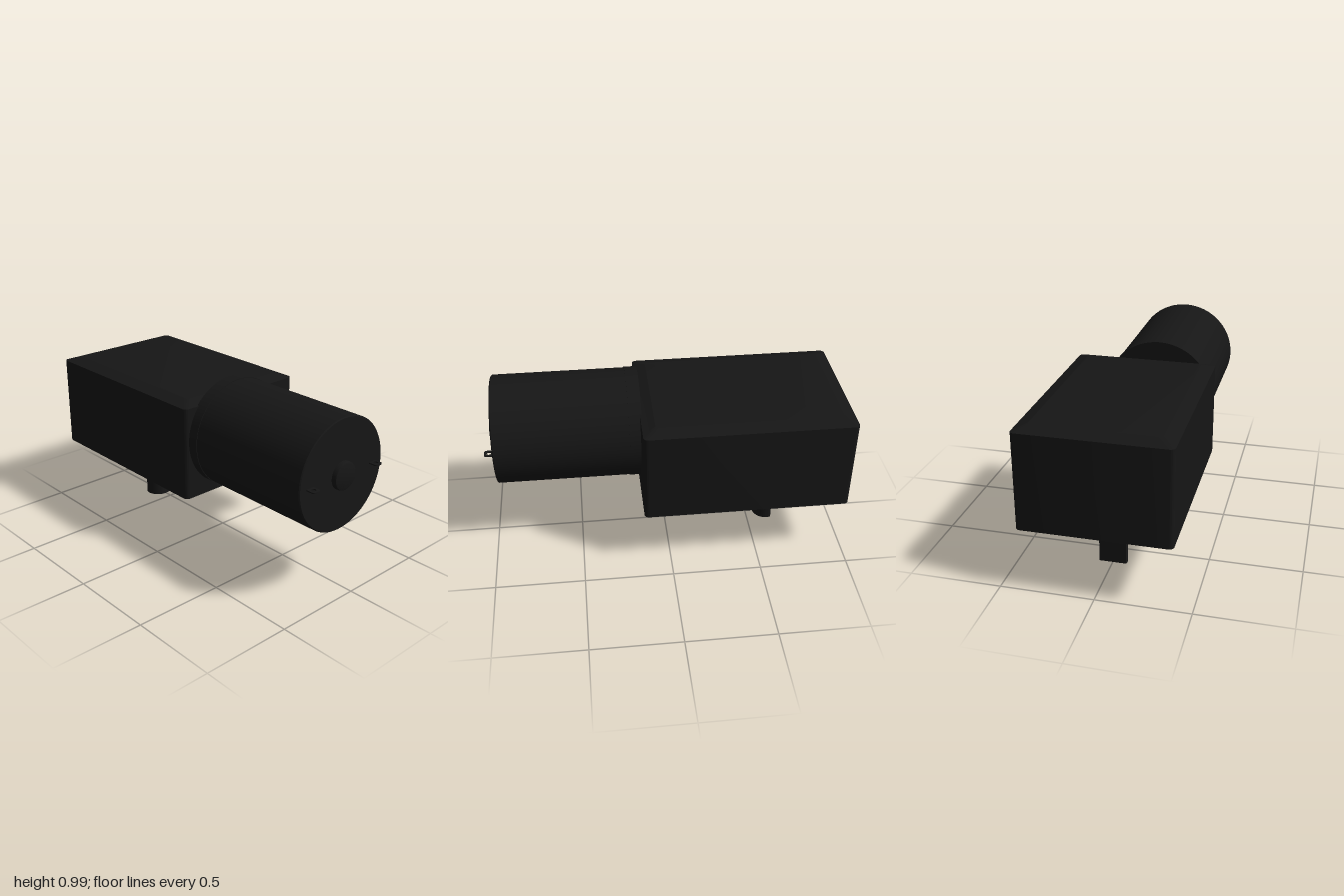
import * as THREE from 'three';
import { toCreasedNormals } from 'three/addons/utils/BufferGeometryUtils.js';

const black = new THREE.MeshStandardMaterial({ color: 0x161616 });
const steel = new THREE.MeshStandardMaterial({ color: 0x8a8a8a });

const X = -0.07, Y = 0.68; // motor axis
const OUT_Z = -0.622; // output shaft axis
const BASE = 0.35; // underside of the gearbox

function add(parent, name, geometry, material = black) {
  const mesh = new THREE.Mesh(geometry, material);
  mesh.name = name;
  parent.add(mesh);
  return mesh;
}

// Extrudes a plan shape (shape y points to -z) upward from y0 to y1
function prism(shape, y0, y1, steps = 1) {
  const geo = new THREE.ExtrudeGeometry(shape, { depth: y1 - y0, bevelEnabled: false, curveSegments: 24, steps });
  return geo.rotateX(-Math.PI / 2).translate(0, y0, 0);
}

// Rectangle with rounded corners, centred on the origin
function roundedRect(w, h, r) {
  const s = new THREE.Shape(), a = w / 2 - r, b = h / 2 - r, q = Math.PI / 2;
  s.absarc(a, b, r, 0, q);
  s.absarc(-a, b, r, q, 2 * q);
  s.absarc(-a, -b, r, 2 * q, 3 * q);
  s.absarc(a, -b, r, 3 * q, 4 * q);
  s.closePath();
  return s;
}

function disc(r, hole = 0) {
  const s = new THREE.Shape();
  s.absarc(0, 0, r, 0, Math.PI * 2);
  if (hole) s.holes.push(new THREE.Path().absarc(0, 0, hole, 0, Math.PI * 2, true));
  return s;
}

// Turns a [radius, z] profile around the motor axis
function turned(profile) {
  const pts = profile.map(([r, z]) => new THREE.Vector2(r, z));
  const geo = new THREE.LatheGeometry(pts, 72).rotateX(Math.PI / 2).translate(X, Y, 0);
  return toCreasedNormals(geo, 0.5);
}

function gearbox() {
  const g = new THREE.Group();
  g.name = 'gearbox';

  // Housing: the top layer is drawn in to form the sloped lid edge
  const geo = prism(roundedRect(0.8, 1.15, 0.025), BASE, 0.9, 2);
  const p = geo.attributes.position;
  for (let i = 0; i < p.count; i++) {
    const y = p.getY(i);
    if (y > 0.89) p.setXYZ(i, p.getX(i) * 0.33 / 0.4, y, p.getZ(i) * 0.505 / 0.575);
    else if (y > 0.5) p.setY(i, 0.875);
  }
  geo.computeVertexNormals();
  add(g, 'housing', toCreasedNormals(geo, 0.3)).position.z = -0.425;

  // Mounting bosses with screw holes
  const boss = toCreasedNormals(prism(disc(0.095, 0.04), 0.325, BASE), 0.5);
  for (const x of [-0.225, 0.225])
    for (const z of [-0.025, -0.82]) add(g, 'mountingBoss', boss).position.set(x, 0, z);

  // Raised collar around the shaft and oblong pad in front of it
  add(g, 'shaftCollar', toCreasedNormals(prism(disc(0.16, 0.1), 0.325, BASE), 0.5)).position.z = OUT_Z;
  add(g, 'oblongPad', toCreasedNormals(prism(roundedRect(0.48, 0.15, 0.0749), 0.325, BASE), 0.5)).position.z = -0.345;

  // Cover screws with cross recess
  for (const x of [-0.36, 0.36]) {
    const screw = new THREE.Group();
    screw.name = 'coverScrew';
    screw.position.set(x, BASE, 0.108);
    add(screw, 'screwHead', new THREE.CylinderGeometry(0.032, 0.028, 0.008, 24), steel);
    for (const turn of [0, Math.PI / 2])
      add(screw, 'crossRecess', new THREE.BoxGeometry(0.03, 0.002, 0.007).rotateY(turn)).position.y = -0.004;
    g.add(screw);
  }
  return g;
}

function outputShaft() {
  const g = new THREE.Group();
  g.name = 'outputShaft';
  g.position.z = OUT_Z;
  const r = 0.077, a = Math.asin(0.023 / r);
  // Shaft end with one flat facing the back
  const d = new THREE.Shape();
  d.absarc(0, 0, r, Math.PI - a, 2 * Math.PI + a);
  d.closePath();
  add(g, 'flattedShaft', toCreasedNormals(prism(d, 0, 0.305), 0.5));
  add(g, 'roundShaft', toCreasedNormals(prism(disc(r), 0.302, 0.36), 0.5));
  return g;
}

function motor() {
  const g = new THREE.Group();
  g.name = 'motor';
  // Can with a slightly larger band at the gearbox
  add(g, 'motorCan', turned([[0, 0.14], [0.308, 0.14], [0.308, 0.21], [0.305, 0.21],
    [0.305, 0.945], [0.3, 0.95], [0, 0.95]]));
  add(g, 'bearingBoss', turned([[0.076, 0.945], [0.076, 0.968], [0.073, 0.975], [0.066, 0.978], [0, 0.978]]));

  // Solder tabs with an eyelet
  const tab = new THREE.Shape();
  tab.moveTo(-0.025, 0.01);
  tab.lineTo(-0.025, -0.035);
  tab.absarc(-0.01, -0.035, 0.015, Math.PI, 1.5 * Math.PI);
  tab.absarc(0.01, -0.035, 0.015, 1.5 * Math.PI, 2 * Math.PI);
  tab.lineTo(0.025, 0.01);
  tab.closePath();
  tab.holes.push(new THREE.Path().absarc(0, -0.024, 0.013, 0, Math.PI * 2, true));
  const tabGeo = toCreasedNormals(prism(tab, -0.003, 0.003), 0.5);
  for (const side of [-1, 1]) add(g, 'solderTab', tabGeo).position.set(X + side * 0.232, Y, 0.95);
  return g;
}

export function createModel() {
  const model = new THREE.Group();
  model.name = 'gearMotor';
  model.add(gearbox(), outputShaft(), motor());
  return model;
}
